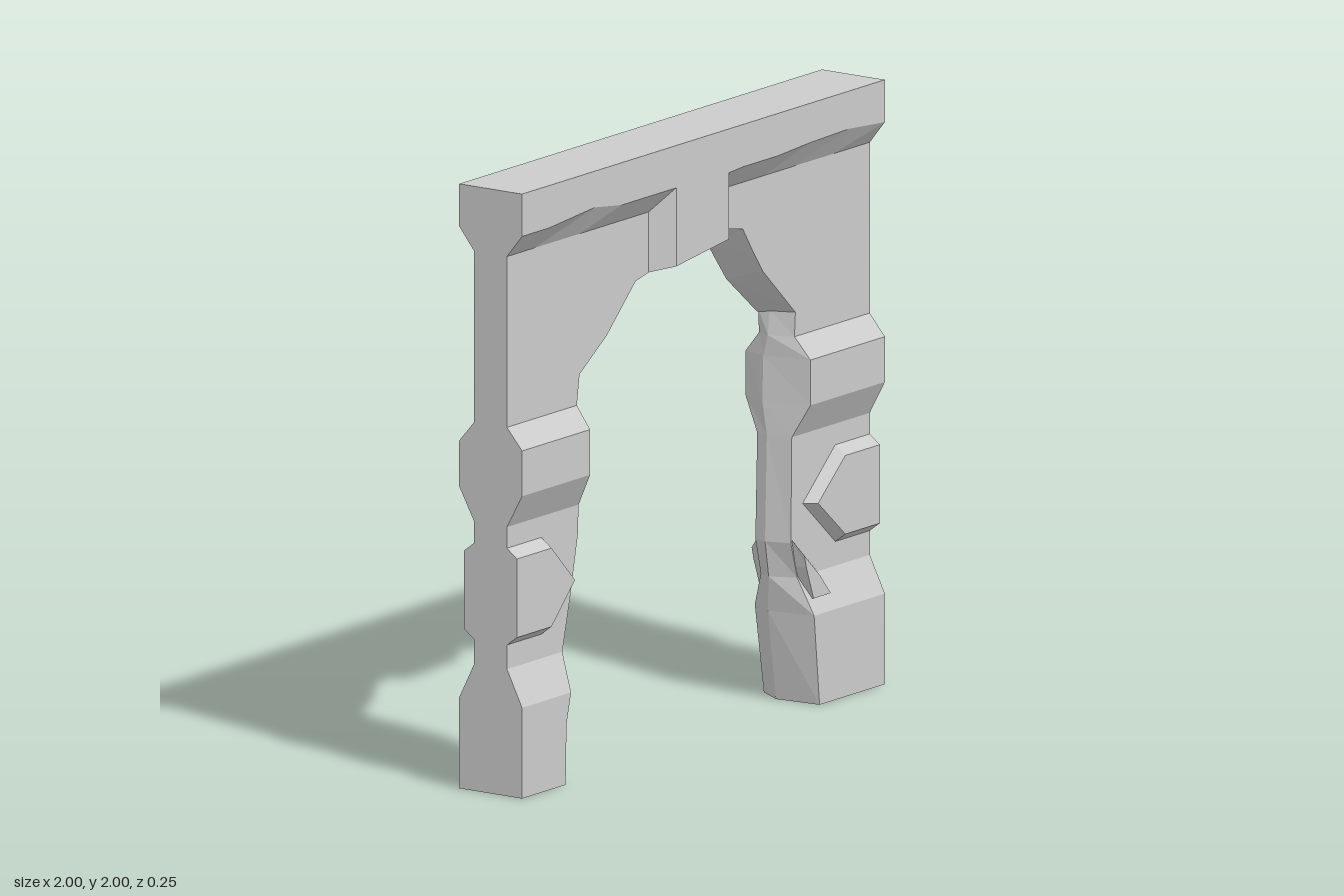
import * as THREE from 'three';

const material = new THREE.MeshStandardMaterial({ color: 0xcccccc, flatShading: true });

// Closed solid through matching loops of [x, y, z]; u and v are the axes spanning the end caps.
function loft(name, loops, u, v) {
  const flat = loop => loop.map(p => new THREE.Vector2(p[u], p[v]));
  if (THREE.ShapeUtils.area(flat(loops[0])) < 0) loops = loops.map(l => [...l].reverse());
  const n = loops[0].length;
  let tris = [];
  for (let k = 0; k < loops.length - 1; k++) {
    const a = loops[k], b = loops[k + 1];
    for (let i = 0; i < n; i++) {
      const j = (i + 1) % n;
      tris.push([a[i], a[j], b[j]], [a[i], b[j], b[i]]);
    }
  }
  const first = loops[0], last = loops[loops.length - 1];
  for (const [i, j, k] of THREE.ShapeUtils.triangulateShape(flat(first), []))
    tris.push([first[k], first[j], first[i]]);
  for (const [i, j, k] of THREE.ShapeUtils.triangulateShape(flat(last), []))
    tris.push([last[i], last[j], last[k]]);

  // Turn the solid right side out if its signed volume is negative
  let volume = 0;
  for (const [a, b, c] of tris)
    volume += new THREE.Vector3(...a).dot(new THREE.Vector3(...b).cross(new THREE.Vector3(...c)));
  if (volume < 0) tris = tris.map(([a, b, c]) => [a, c, b]);

  const geometry = new THREE.BufferGeometry();
  geometry.setAttribute('position', new THREE.Float32BufferAttribute(tris.flat(2), 3));
  geometry.computeVertexNormals();
  const mesh = new THREE.Mesh(geometry, material);
  mesh.name = name;
  return mesh;
}

// Pillar from rows of [y, half depth, inner x at front, middle, back]
function pillar(name, side, rows) {
  return loft(name, rows.map(([y, d, f, m, b]) => [
    [side, y, d], [side * f, y, d], [side * m, y, -0.3 * d], [side * b, y, -d], [side, y, -d],
  ]), 0, 2);
}

// Raised panel with sloping edges, on the front (face = 1) or back (face = -1)
function raised(name, side, face, outer, inner) {
  const ring = (pts, z) => pts.map(([x, y]) => [side * x, y, face * z]);
  return loft(name, [ring(outer, 0.05), ring(outer, 0.065), ring(inner, 0.105)], 0, 1);
}

export function createModel() {
  const group = new THREE.Group();

  // Pillars with a swelling foot and band, and a worn inner edge
  group.add(pillar('rightPillar', -1, [
    [0, 0.125, 0.76, 0.75, 0.78],
    [0.2, 0.125, 0.755, 0.75, 0.78],
    [0.3, 0.125, 0.73, 0.725, 0.75],
    [0.42, 0.065, 0.695, 0.69, 0.7],
    [0.6, 0.065, 0.65, 0.645, 0.645],
    [0.79, 0.065, 0.61, 0.59, 0.6],
    [0.89, 0.065, 0.605, 0.59, 0.6],
    [1.0, 0.125, 0.625, 0.59, 0.62],
    [1.15, 0.125, 0.625, 0.59, 0.62],
    [1.22, 0.065, 0.615, 0.59, 0.6],
    [1.32, 0.065, 0.6, 0.6, 0.6],
  ]));
  group.add(pillar('leftPillar', 1, [
    [0, 0.125, 0.64, 0.625, 0.68],
    [0.3, 0.125, 0.61, 0.58, 0.63],
    [0.42, 0.065, 0.6, 0.56, 0.58],
    [0.54, 0.065, 0.565, 0.54, 0.55],
    [0.89, 0.065, 0.57, 0.55, 0.56],
    [1.0, 0.125, 0.59, 0.55, 0.58],
    [1.15, 0.125, 0.59, 0.555, 0.58],
    [1.22, 0.065, 0.585, 0.555, 0.57],
    [1.3, 0.065, 0.59, 0.565, 0.565],
  ]));

  // Arch and cornice, swept along x; the keystone is where the full depth reaches the soffit.
  // Stations: front x, front soffit y, back x, back soffit y, keystone flag, front cornice lip y
  const stations = [
    [-1, 1.32, -1, 1.24, 0, 1.86],
    [-0.85, 1.32, -0.85, 1.24, 0, 1.86],
    [-0.6, 1.32, -0.59, 1.24, 0, 1.88],
    [-0.45, 1.42, -0.45, 1.38, 0, 1.86],
    [-0.29, 1.57, -0.27, 1.555, 0, 1.86],
    [-0.22, 1.585, -0.22, 1.565, 0, 1.86],
    [-0.15, 1.6, -0.15, 1.58, 1, 1.86],
    [0.14, 1.635, 0.14, 1.62, 1, 1.86],
    [0.22, 1.645, 0.22, 1.635, 0, 1.86],
    [0.3, 1.63, 0.29, 1.56, 0, 1.86],
    [0.36, 1.54, 0.32, 1.52, 0, 1.86],
    [0.41, 1.47, 0.39, 1.43, 0, 1.86],
    [0.59, 1.3, 0.56, 1.29, 0, 1.87],
    [0.8, 1.3, 0.8, 1.29, 0, 1.875],
    [1, 1.3, 1, 1.29, 0, 1.86],
  ];
  group.add(loft('archAndCornice', stations.map(([xf, yf, xb, yb, key, lip]) => {
    const d = key ? 0.125 : 0.065, neck = key ? 1.855 : 1.785;
    return [
      [xf, yf, d], [xf, neck, d], [xf, lip, 0.125], [xf, 2, 0.125],
      [xb, 2, -0.125], [xb, 1.86, -0.125], [xb, neck, -d], [xb, yb, -d],
    ];
  }), 2, 1));

  // Pointed panels on both faces of both pillars, and a broken ridge below one pair
  for (const face of [1, -1]) {
    for (const [side, tip, label] of [[-1, 0.65, 'right'], [1, 0.63, 'left']]) {
      group.add(raised(label + 'PointedPanel', side, face,
        [[1, 0.82], [0.81, 0.82], [tip, 0.66], [0.81, 0.5], [1, 0.5]],
        [[1, 0.79], [0.81, 0.79], [tip + 0.03, 0.66], [0.81, 0.53], [1, 0.53]]));
    }
    group.add(raised('brokenRidge', 1, face,
      [[0.57, 0.55], [0.7, 0.43], [0.73, 0.35], [0.63, 0.35], [0.59, 0.46]],
      [[0.585, 0.5], [0.67, 0.42], [0.73, 0.35], [0.635, 0.35], [0.595, 0.46]]));
  }
  return group;
}
